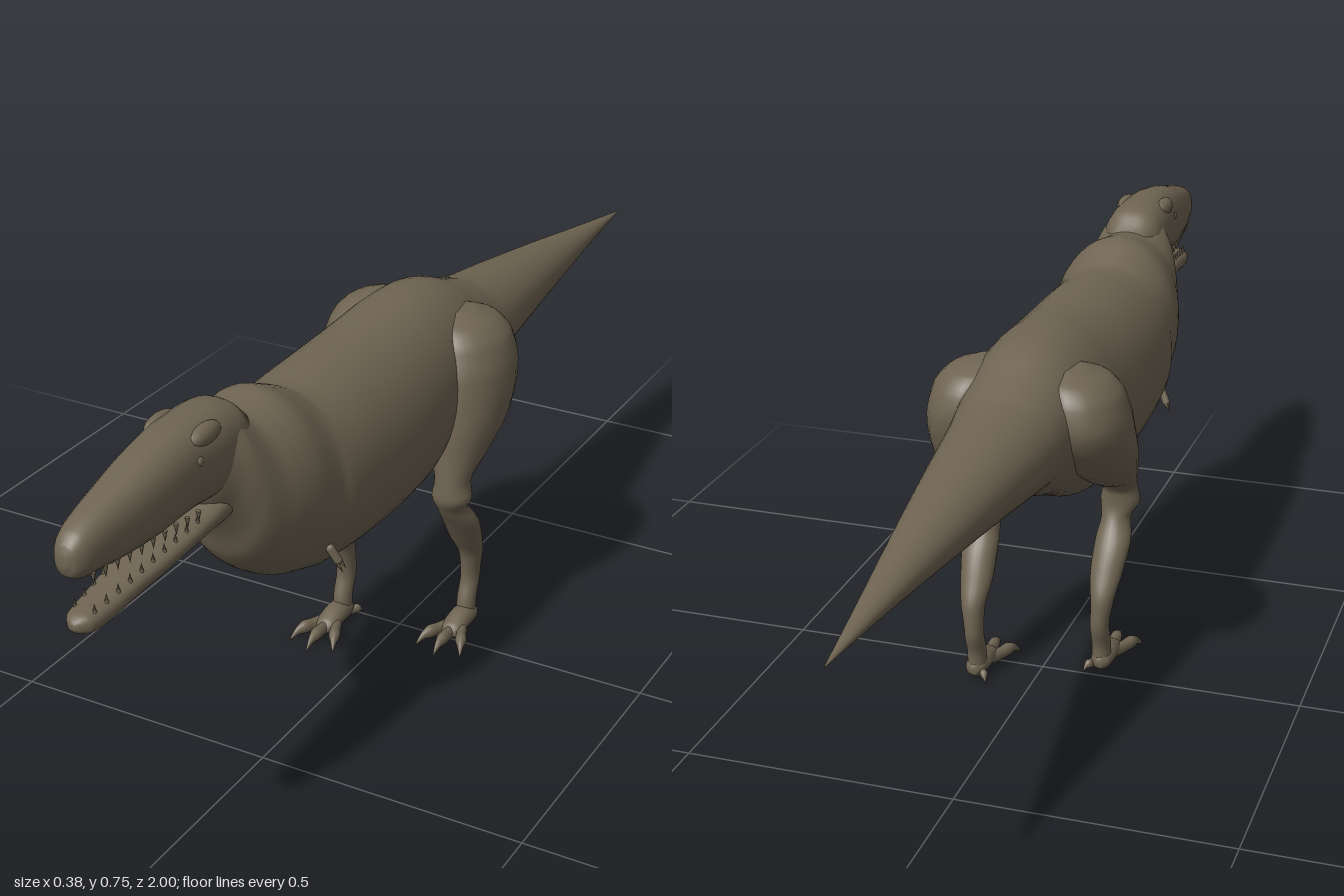
import * as THREE from 'three';

const hide = new THREE.MeshStandardMaterial({ color: 0x6f6452 });
hide.name = 'brown hide';

// Shape-preserving cubic interpolation of column k between sections i and i + 1
function blend(s, i, k, f) {
  const d = (a) => (s[a + 1][k] - s[a][k]) / (s[a + 1][0] - s[a][0]);
  const slope = (a) => {
    if (a === 0) return d(0);
    if (a === s.length - 1) return d(a - 1);
    const p = d(a - 1), q = d(a);
    return p * q <= 0 ? 0 : (2 * p * q) / (p + q);
  };
  const h = s[i + 1][0] - s[i][0], f2 = f * f, f3 = f2 * f;
  return (2 * f3 - 3 * f2 + 1) * s[i][k] + (f3 - 2 * f2 + f) * h * slope(i)
    + (3 * f2 - 2 * f3) * s[i + 1][k] + (f3 - f2) * h * slope(i + 1);
}

// Skin over rounded sections [t, centreU, centreV, radiusU, radiusV], t ascending.
// place(u, v, t) turns section coordinates into x, y, z.
function loft(sections, { power = 2, sides = 32, steps = 4, place = (u, v, t) => [u, v, t] } = {}) {
  const rings = [];
  for (let i = 0; i < sections.length - 1; i++) {
    for (let j = 0; j < steps; j++) {
      const f = j / steps;
      rings.push([sections[i][0] + f * (sections[i + 1][0] - sections[i][0]),
        ...[1, 2, 3, 4].map((k) => blend(sections, i, k, f))]);
    }
  }
  rings.push(sections.at(-1));
  const round = (c) => Math.sign(c) * Math.abs(c) ** (2 / power);
  const pos = [], index = [];
  for (const [t, cu, cv, ru, rv] of rings) {
    for (let j = 0; j < sides; j++) {
      const a = (j / sides) * Math.PI * 2;
      pos.push(...place(cu + ru * round(Math.cos(a)), cv + rv * round(Math.sin(a)), t));
    }
  }
  for (let i = 0; i < rings.length - 1; i++) {
    for (let j = 0; j < sides; j++) {
      const a = i * sides + j, b = i * sides + (j + 1) % sides;
      index.push(a, b, a + sides, b, b + sides, a + sides);
    }
  }
  // End caps
  const last = (rings.length - 1) * sides;
  for (let j = 1; j < sides - 1; j++) {
    index.push(0, j + 1, j, last, last + j, last + j + 1);
  }
  const g = new THREE.BufferGeometry();
  g.setAttribute('position', new THREE.Float32BufferAttribute(pos, 3));
  g.setIndex(index);
  g.computeVertexNormals();
  return g;
}

// Sections along z given as [z, bottom, top, halfWidth]
const alongZ = (rows) => rows.map(([z, lo, hi, w]) => [z, 0, (lo + hi) / 2, w, (hi - lo) / 2]);
const upright = (u, v, t) => [v, t, u];

function add(parent, name, geometry, x = 0, y = 0, z = 0) {
  const m = new THREE.Mesh(geometry, hide);
  m.name = name;
  m.position.set(x, y, z);
  parent.add(m);
  return m;
}

function createLeg(side, stride) {
  const leg = new THREE.Group();
  leg.name = side > 0 ? 'leftLeg' : 'rightLeg';
  // Thigh and shin, rows of [y, z, x, depth, width]; the stride moves the lower leg
  const rows = [
    [0.015, -0.068, 0.108, 0.022, 0.018], [0.05, -0.07, 0.108, 0.021, 0.018],
    [0.1, -0.085, 0.108, 0.022, 0.018], [0.15, -0.08, 0.111, 0.025, 0.022],
    [0.2, -0.055, 0.112, 0.03, 0.031], [0.25, -0.025, 0.115, 0.033, 0.034],
    [0.29, 0.003, 0.113, 0.032, 0.028], [0.32, 0.015, 0.117, 0.035, 0.038],
    [0.35, 0.013, 0.117, 0.036, 0.033], [0.4, -0.02, 0.115, 0.065, 0.05],
    [0.47, -0.055, 0.115, 0.095, 0.07], [0.55, -0.075, 0.11, 0.105, 0.077],
    [0.6, -0.08, 0.1, 0.095, 0.074], [0.63, -0.08, 0.09, 0.075, 0.06],
    [0.65, -0.08, 0.08, 0.03, 0.025],
  ].map(([y, z, x, rz, rx]) => {
    const follow = THREE.MathUtils.clamp((0.52 - y) / 0.17, 0, 1);
    return [y, z + stride * follow, side * x, rz, rx];
  });
  add(leg, 'thighAndShin', loft(rows, { place: upright, sides: 24 }));

  // Foot: pad, three front toes and a rear spur, each ending in a claw
  const foot = new THREE.Group();
  foot.name = 'foot';
  foot.position.set(side * 0.109, 0, stride - 0.065);
  leg.add(foot);
  add(foot, 'footPad', loft(alongZ([
    [-0.028, 0.012, 0.03, 0.006], [-0.015, 0.003, 0.04, 0.019],
    [0.02, 0.002, 0.045, 0.023], [0.06, 0.002, 0.033, 0.022], [0.075, 0.006, 0.022, 0.01],
  ]), { sides: 16 }));
  const toe = loft(alongZ([
    [0, 0.005, 0.03, 0.01], [0.04, 0.003, 0.028, 0.01], [0.065, 0.004, 0.03, 0.011],
    [0.082, 0.006, 0.024, 0.007], [0.1, 0.001, 0.008, 0.002], [0.104, 0, 0.002, 0.001],
  ]), { sides: 12 });
  for (const turn of [-0.42, 0, 0.42]) {
    const t = add(foot, 'toe', toe, turn * 0.02, 0, 0.03);
    t.rotation.y = turn;
    if (turn) t.scale.z = 0.9;
  }
  const spur = add(foot, 'rearToe', toe, -side * 0.01, 0.004, -0.005);
  spur.rotation.y = Math.PI + side * 0.5;
  spur.scale.set(0.7, 0.7, 0.35);
  return leg;
}

export function createModel() {
  const model = new THREE.Group();
  model.name = 'dinosaur';

  // Tail, trunk and neck in one skin
  add(model, 'bodyAndTail', loft(alongZ([
    [-1, 0.512, 0.514, 0.001], [-0.8, 0.502, 0.545, 0.027], [-0.6, 0.486, 0.578, 0.054],
    [-0.4, 0.468, 0.608, 0.08], [-0.25, 0.45, 0.63, 0.099], [-0.19, 0.44, 0.65, 0.106],
    [-0.1, 0.4, 0.685, 0.12], [0, 0.36, 0.695, 0.13], [0.08, 0.328, 0.69, 0.138],
    [0.2, 0.324, 0.683, 0.143], [0.32, 0.33, 0.68, 0.142], [0.4, 0.34, 0.678, 0.138],
    [0.43, 0.346, 0.69, 0.131], [0.48, 0.363, 0.712, 0.128], [0.53, 0.392, 0.708, 0.118],
    [0.56, 0.415, 0.705, 0.108], [0.595, 0.455, 0.722, 0.096], [0.615, 0.5, 0.735, 0.085],
    [0.64, 0.54, 0.74, 0.067], [0.67, 0.57, 0.735, 0.05], [0.69, 0.595, 0.72, 0.03],
  ]), { sides: 48 }));

  // Head
  add(model, 'skullAndUpperJaw', loft(alongZ([
    [0.56, 0.64, 0.71, 0.04], [0.6, 0.605, 0.741, 0.06], [0.65, 0.598, 0.748, 0.062],
    [0.72, 0.603, 0.748, 0.058], [0.8, 0.6, 0.737, 0.053], [0.88, 0.603, 0.718, 0.045],
    [0.94, 0.61, 0.703, 0.037], [0.975, 0.613, 0.69, 0.03], [0.993, 0.622, 0.675, 0.02],
    [1, 0.638, 0.66, 0.008],
  ]), { power: 2.4 }));
  add(model, 'lowerJaw', loft(alongZ([
    [0.6, 0.56, 0.61, 0.03], [0.64, 0.55, 0.608, 0.052], [0.7, 0.549, 0.594, 0.05],
    [0.8, 0.536, 0.578, 0.043], [0.88, 0.526, 0.565, 0.035], [0.94, 0.517, 0.556, 0.03],
    [0.97, 0.517, 0.552, 0.025], [0.985, 0.524, 0.546, 0.013], [0.99, 0.53, 0.54, 0.005],
  ]), { power: 2.4 }));

  const ball = new THREE.SphereGeometry(1, 16, 12);
  const tooth = new THREE.ConeGeometry(0.0045, 0.02, 6);
  const claw = new THREE.ConeGeometry(0.004, 0.02, 6);
  for (const side of [-1, 1]) {
    add(model, 'brow', ball, side * 0.04, 0.725, 0.69).scale.set(0.016, 0.018, 0.04);
    add(model, 'eye', ball, side * 0.052, 0.698, 0.725).scale.set(0.007, 0.009, 0.009);
    // Teeth follow the narrowing jaws
    for (let i = 0; i < 10; i++) {
      const z = 0.72 + i * 0.027, taper = (z - 0.72) / 0.25;
      const upper = add(model, 'upperTooth', tooth, side * (0.043 - 0.02 * taper), 0.599 + 0.012 * taper, z);
      upper.rotation.x = Math.PI;
      add(model, 'lowerTooth', tooth, side * (0.037 - 0.02 * taper), 0.59 - 0.036 * taper, z - 0.005);
    }
    // Tiny arm with two claws
    const arm = new THREE.Group();
    arm.name = 'arm';
    arm.position.set(side * 0.11, 0.418, 0.44);
    arm.rotation.set(0.25, 0, side * 0.45);
    model.add(arm);
    add(arm, 'forearm', new THREE.CapsuleGeometry(0.008, 0.025, 4, 10), 0, -0.01, 0);
    for (const dz of [-0.005, 0.005]) {
      add(arm, 'armClaw', claw, 0, -0.036, dz).rotation.x = Math.PI;
    }
  }

  // The right leg steps forward
  model.add(createLeg(1, 0), createLeg(-1, 0.1));
  return model;
}
